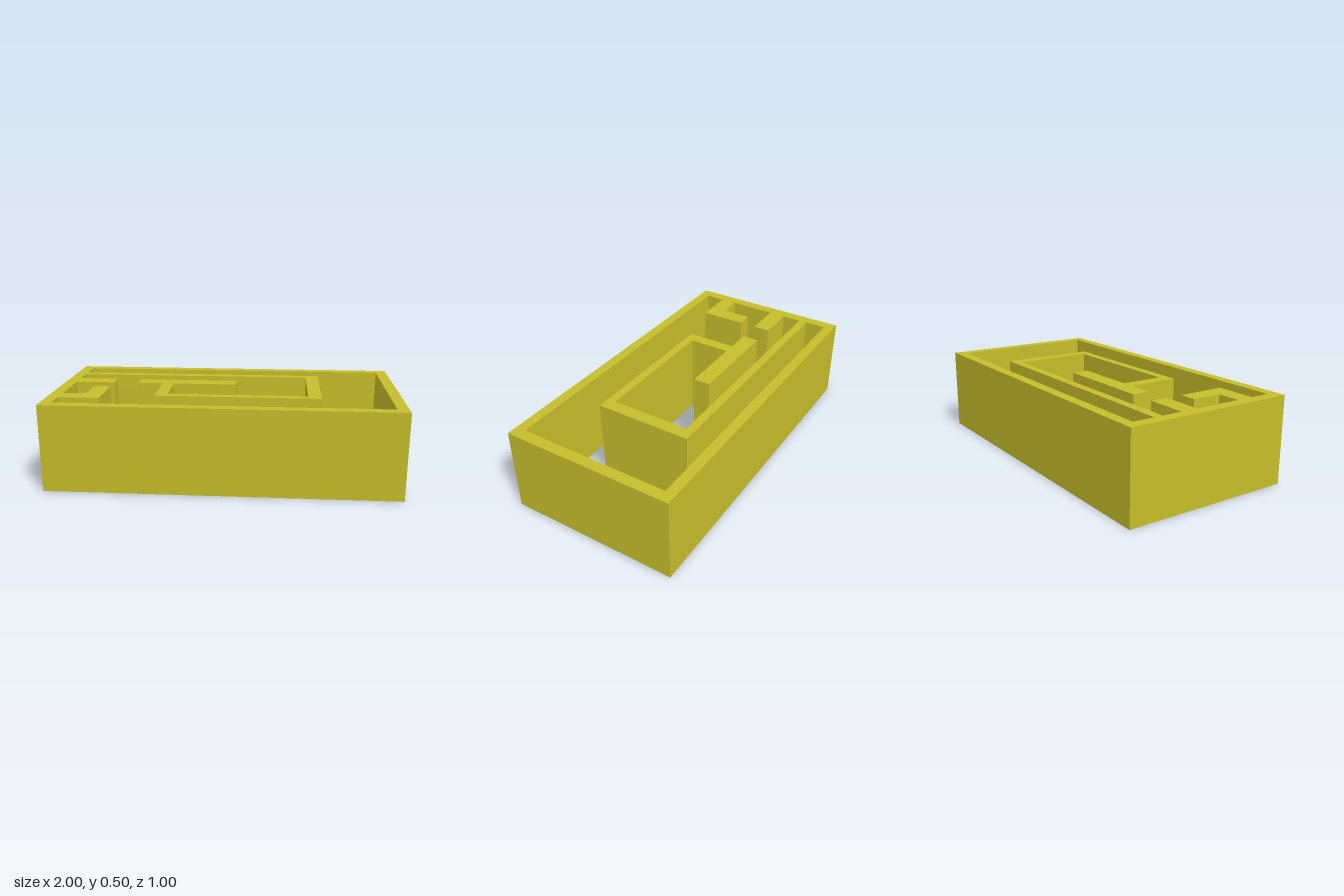
import * as THREE from 'three';

const HEIGHT = 0.5;

// Floor-plan points are [x, z]; the shape's y axis becomes -z after the turn.
const toPoints = (plan) => plan.map(([x, z]) => new THREE.Vector2(x, -z));
const rect = (x0, z0, x1, z1) => [[x0, z0], [x0, z1], [x1, z1], [x1, z0]];

export function createModel() {
  const group = new THREE.Group();
  group.name = 'walledMaze';

  const olive = new THREE.MeshStandardMaterial({ color: 0xc5bc2a });
  olive.name = 'olive';

  // Raises a wall of full height from its floor plan; holes wind the opposite way
  function addWall(name, plan, hole) {
    const shape = new THREE.Shape(toPoints(plan));
    if (hole) shape.holes.push(new THREE.Path(toPoints(hole).reverse()));
    const geometry = new THREE.ExtrudeGeometry(shape, { depth: HEIGHT, bevelEnabled: false });
    geometry.rotateX(-Math.PI / 2);
    const mesh = new THREE.Mesh(geometry, olive);
    mesh.name = name;
    group.add(mesh);
  }

  // Perimeter, open at top and bottom
  addWall('outerWall', rect(-1, -0.5, 1, 0.5), rect(-0.935, -0.44, 0.935, 0.44));

  // Long wall running from the right side, around the room, to the T-shaped end
  addWall('spiralWall', [
    [-0.935, -0.315], [0.55, -0.315], [0.55, 0.25], [-0.4, 0.25],
    [-0.4, -0.05], [-0.55, -0.05], [-0.55, -0.15], [0.05, -0.15],
    [0.05, -0.05], [-0.33, -0.05], [-0.33, 0.2], [0.475, 0.2],
    [0.475, -0.265], [-0.935, -0.265],
  ]);

  // Short walls off the right side
  addWall('stubWall', rect(-0.935, -0.15, -0.7, -0.05));
  addWall('hookWall', [
    [-0.935, 0.225], [-0.8, 0.225], [-0.8, 0.05],
    [-0.7, 0.05], [-0.7, 0.325], [-0.935, 0.325],
  ]);

  return group;
}
